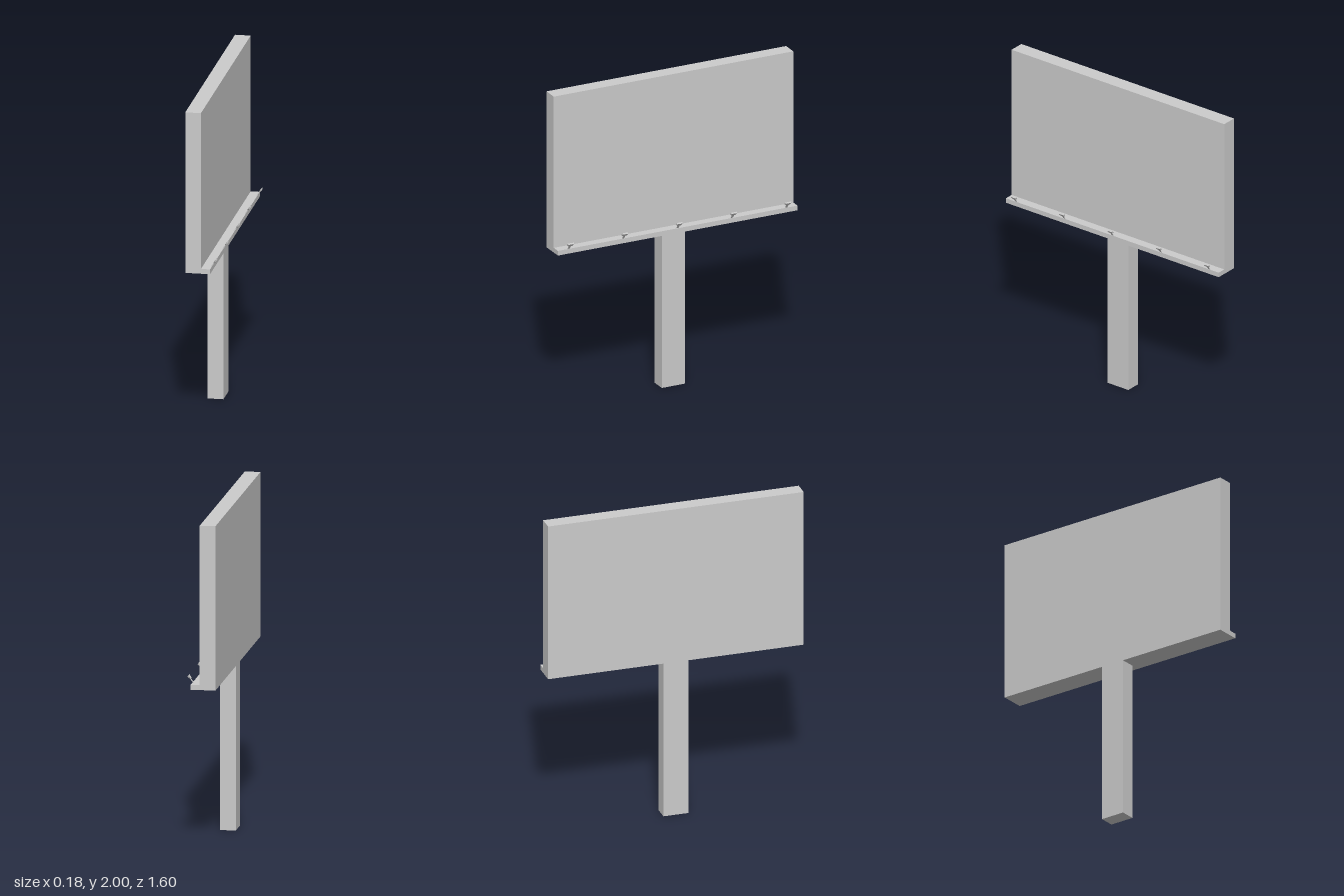
import * as THREE from 'three';

const material = new THREE.MeshStandardMaterial({ color: 0xcccccc, flatShading: true });

// Box given by its minimum and maximum corners
function box(name, [x0, y0, z0], [x1, y1, z1]) {
  const mesh = new THREE.Mesh(new THREE.BoxGeometry(x1 - x0, y1 - y0, z1 - z0), material);
  mesh.position.set((x0 + x1) / 2, (y0 + y1) / 2, (z0 + z1) / 2);
  mesh.name = name;
  return mesh;
}

// Small floodlight on a flat arm; local y runs along the arm
function createLamp() {
  const lamp = new THREE.Group();
  lamp.name = 'floodlight';
  lamp.add(box('lampArm', [-0.0015, -0.002, -0.007], [0.0015, 0.034, 0.007]));

  // Head outline: square upper part, tapered towards the arm
  const outline = new THREE.Shape([
    [-0.015, -0.012], [0.015, -0.012], [0.021, -0.002],
    [0.021, 0.012], [-0.021, 0.012], [-0.021, -0.002],
  ].map(([x, y]) => new THREE.Vector2(x, y)));
  const geometry = new THREE.ExtrudeGeometry(outline, { depth: 0.008, bevelEnabled: false });
  geometry.translate(0, 0, -0.004);

  // Narrow the outer side into a tapered housing
  const p = geometry.attributes.position;
  for (let i = 0; i < p.count; i++) {
    if (p.getZ(i) > 0) p.setXY(i, p.getX(i) * 0.82, p.getY(i) * 0.75);
  }
  geometry.rotateY(Math.PI / 2);
  geometry.computeVertexNormals();
  const head = new THREE.Mesh(geometry, material);
  head.name = 'lampHead';
  head.position.y = 0.04;
  lamp.add(head);
  return lamp;
}

export function createModel() {
  const model = new THREE.Group();
  model.name = 'billboard';

  model.add(box('post', [-0.09, 0, -0.078], [0.005, 1, 0.078]));
  model.add(box('panel', [-0.09, 1, -0.8], [0.005, 2, 0.8]));
  model.add(box('ledge', [0.005, 1, -0.8], [0.06, 1.03, 0.8]));

  // Row of lamps leaning out from the ledge
  for (let i = -2; i <= 2; i++) {
    const lamp = createLamp();
    lamp.position.set(0.056, 1.031, i * 0.363);
    lamp.rotation.z = -0.64;
    model.add(lamp);
  }
  return model;
}
